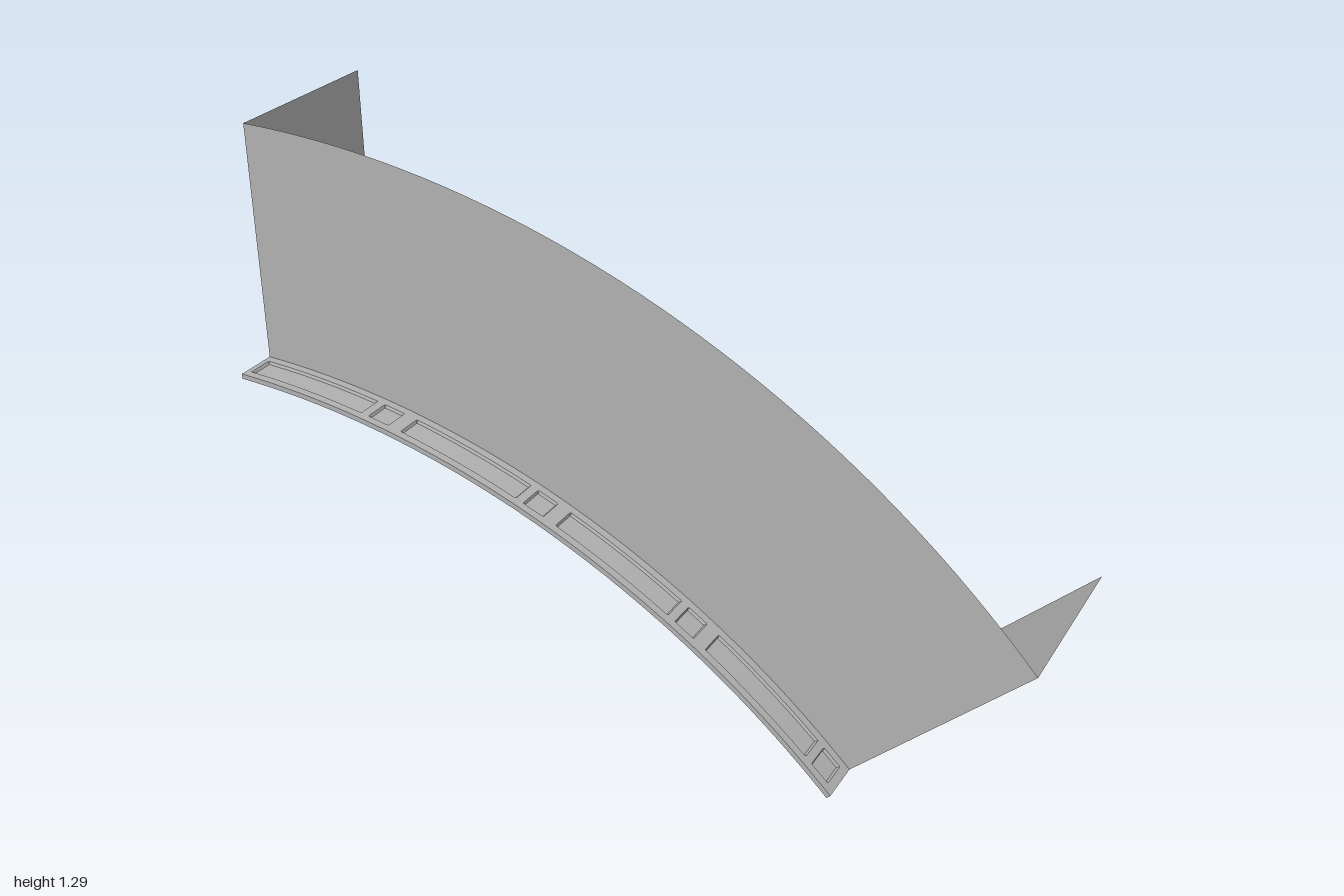
import * as THREE from 'three';
import { toCreasedNormals } from 'three/addons/utils/BufferGeometryUtils.js';

const CX = -1, CY = -1.57, R = 2.233;      // arch centre and soffit radius
const SPAN = Math.PI / 4, BAYS = 4;
const FRONT = 0.165, BACK = -0.27;

// point on the arch: t runs 0..1 along the span, r is the radius
const arcPoint = (t, r, z) => [CX + r * Math.sin(t * SPAN), CY + r * Math.cos(t * SPAN), z];
const outerRadius = t => 2.858 + 0.05 * t - 0.08 * t * t;

// surface through a grid of points: point(i, j) returns [x, y, z]
function gridSurface(cols, rows, point) {
  const pos = [], idx = [];
  for (let i = 0; i < cols; i++) for (let j = 0; j < rows; j++) pos.push(...point(i, j));
  for (let i = 0; i < cols - 1; i++) {
    for (let j = 0; j < rows - 1; j++) {
      const a = i * rows + j, b = a + rows;
      idx.push(a, b, a + 1, b, b + 1, a + 1);
    }
  }
  const g = new THREE.BufferGeometry();
  g.setAttribute('position', new THREE.Float32BufferAttribute(pos, 3));
  g.setIndex(idx);
  return toCreasedNormals(g, 0.2);
}

// repeats the stops of one bay along the whole span, with extra cuts in long gaps
function bayStops(stops) {
  const out = [];
  for (let b = 0; b < BAYS; b++) {
    stops.forEach(([u, inside], k) => {
      if (k === 0 && b > 0) return;
      if (k > 0) {
        const [pu] = stops[k - 1];
        const n = Math.ceil((u - pu) / 0.13);
        for (let s = 1; s < n; s++) out.push([(b + pu + (u - pu) * s / n) / BAYS, inside]);
      }
      out.push([(b + u) / BAYS, inside]);
    });
  }
  return out;
}

// soffit section: z, radial offset, whether the coffer panel sinks here
const SOFFIT = [
  [0.165, 0.015, 0], [0.157, 0.001, 0], [0.14, -0.01, 0], [0.115, -0.01, 0],
  [0.105, 0.008, 0], [0.07, 0.012, 0], [0.066, 0.016, 0], [0.05, 0.016, 0],
  [0.042, 0.016, 1], [-0.132, 0.016, 1], [-0.14, 0.016, 0], [-0.15, 0.016, 0],
  [-0.165, 0.011, 0], [-0.19, 0, 0], [-0.2, -0.004, 0], [-0.27, -0.004, 0],
];

export function createModel() {
  const group = new THREE.Group();
  const stone = new THREE.MeshStandardMaterial({ color: 0xb2b2b2, side: THREE.DoubleSide });
  stone.name = 'grey stone';
  const add = (name, geometry) => {
    const mesh = new THREE.Mesh(geometry, stone);
    mesh.name = name;
    group.add(mesh);
  };

  // front wall
  add('frontWall', gridSurface(41, 2, (i, j) => {
    const t = i / 40;
    return arcPoint(t, j ? outerRadius(t) : R + 0.015, FRONT);
  }));

  // moulded soffit with one sunken coffer per bay
  const bays = bayStops([[0, 0], [0.05, 0], [0.07, 1], [0.93, 1], [0.95, 0], [1, 0]]);
  add('soffit', gridSurface(bays.length, SOFFIT.length, (i, j) => {
    const [t, inside] = bays[i], [z, d, panel] = SOFFIT[j];
    return arcPoint(t, R + d + (inside && panel ? 0.005 : 0), z);
  }));

  // thin cross ribs between the bays, on the back band and the front moulding
  for (let b = 1; b < BAYS; b++) {
    for (const [name, from, to] of [['frontRib', 0, 5], ['backRib', 11, 15]]) {
      const rows = SOFFIT.slice(from, to + 1);
      const section = [[-0.003, 0], [-0.0015, -0.004], [0.0015, -0.004], [0.003, 0]];
      add(name, gridSurface(4, rows.length, (i, j) =>
        arcPoint(b / BAYS + section[i][0], R + rows[j][1] + section[i][1], rows[j][0])));
    }
  }

  // front ledge: each bay has a long and a short sunken panel
  const ledge = [
    [0.165, 0.008, 0], [0.165, 0.021, 0], [0.185, 0.021, 0], [0.188, 0.021, 1],
    [0.247, 0.021, 1], [0.25, 0.021, 0], [0.27, 0.021, 0], [0.27, 0.008, 0], [0.165, 0.008, 0],
  ];
  const ledgeStops = bayStops([
    [0, 0], [0.03, 0], [0.038, 1], [0.765, 1], [0.773, 0],
    [0.82, 0], [0.828, 1], [0.942, 1], [0.95, 0], [1, 0],
  ]);
  add('frontLedge', gridSurface(ledgeStops.length, ledge.length, (i, j) => {
    const [t, inside] = ledgeStops[i], [z, d, panel] = ledge[j];
    return arcPoint(t, R + d - (inside && panel ? 0.007 : 0), z);
  }));

  // flat end faces, following the soffit section along their lower edge
  for (const [t, name] of [[0, 'rightEnd'], [1, 'leftEnd']]) {
    add(name, gridSurface(SOFFIT.length, 2, (i, j) =>
      arcPoint(t, j ? outerRadius(t) : R + SOFFIT[i][1], SOFFIT[i][0])));
    add(name + 'Ledge', gridSurface(2, 2, (i, j) =>
      arcPoint(t, R + (j ? 0.021 : 0.008), i ? 0.27 : FRONT)));
  }
  return group;
}
